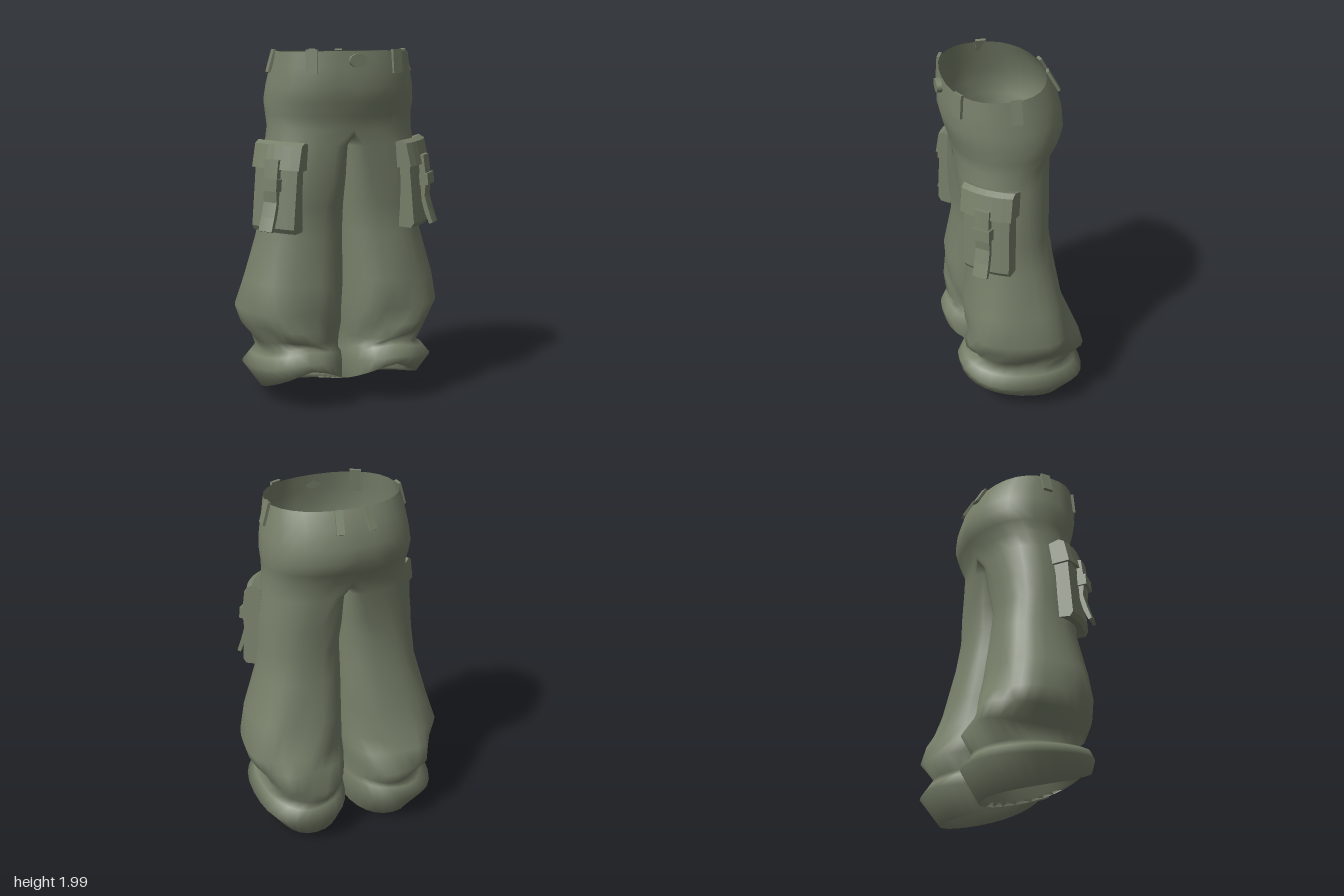
import * as THREE from 'three';
import { mergeVertices } from 'three/addons/utils/BufferGeometryUtils.js';

const cloth = new THREE.MeshStandardMaterial({ color: 0x77806a, side: THREE.DoubleSide });

// Cross-sections from waist to hem: yFront, yBack, centreX, outerX, zFront, zBack, innerX, foldDepth
const TORSO = [
  [1.99, 1.985, 0, 0.375, 0.35, -0.195, 0, 0],
  [1.9, 1.9, 0, 0.392, 0.36, -0.25, 0, 0],
  [1.8, 1.8, 0, 0.412, 0.365, -0.28, 0, 0],
  [1.72, 1.72, 0, 0.422, 0.347, -0.287, 0, 0],
  [1.64, 1.65, 0, 0.415, 0.322, -0.262, 0, 0],
  [1.57, 1.58, 0, 0.412, 0.306, -0.215, 0, 0],
];
const LEG = [
  [1.48, 1.48, 0.1, 0.425, 0.3, -0.19, 0.001, 0],
  [1.3, 1.3, 0.18, 0.45, 0.292, -0.177, 0.001, 0],
  [1.15, 1.15, 0.22, 0.46, 0.28, -0.168, 0.001, 0],
  [0.98, 0.98, 0.235, 0.475, 0.266, -0.192, 0.001, 0],
  [0.72, 0.72, 0.27, 0.545, 0.312, -0.238, 0.001, 0.005],
  [0.56, 0.55, 0.29, 0.588, 0.308, -0.29, 0.001, 0.01],
  [0.46, 0.47, 0.29, 0.555, 0.305, -0.325, 0.002, 0.014],
  [0.39, 0.37, 0.29, 0.49, 0.302, -0.383, 0.012, 0.012],
  [0.355, 0.27, 0.25, 0.465, 0.275, -0.318, 0.016, 0.006],
  [0.345, 0.235, 0.26, 0.5, 0.32, -0.335, 0.008, 0.005],
  [0.285, 0.17, 0.265, 0.548, 0.348, -0.385, 0.002, 0.004],
  [0.245, 0.008, 0.25, 0.45, 0.348, -0.275, 0.012, 0],
  [0.245, 0.045, 0.22, 0.39, 0.315, -0.225, 0.025, 0],
  [0.33, 0.2, 0.22, 0.39, 0.25, -0.25, 0.03, 0],
];
const M = 14;
const spow = (v, p) => Math.sign(v) * Math.abs(v) ** p;

// Roundness of each quarter of a section (1 = ellipse, smaller = squarer)
function roundness(row, j) {
  const inside = j > M, back = j > M / 2 && j < 1.5 * M;
  const depth = row - TORSO.length;
  if (inside) return depth < 2 ? 0.6 : back && depth > 4 ? 0.95 : 0.78;
  if (depth < 0) return back ? 0.92 : 0.86;
  return back && depth > 3 && depth < 8 ? 0.76 : 0.88;
}

// Point j of a section, running front -> outside -> back -> inside
function sectionPoint(s, row, j) {
  const [yf, yb, cx, xo, zf, zb, xi, fold] = s;
  const a = (j / M) * Math.PI, p = roundness(row, j);
  const sn = spow(Math.sin(a), p), cs = spow(Math.cos(a), p);
  const bulge = 1 + (fold * Math.sin(a * 5 + row * 2.1)) / 0.28;
  const z = (zf + zb) / 2 + ((zf - zb) / 2) * cs * bulge;
  const t = (1 - cs) / 2;
  let y = yf + (yb - yf) * t ** 0.58;
  if (fold) y += fold * 0.8 * Math.sin(a * 3 + row);
  // crotch seam dips between the legs
  if (row === TORSO.length - 1 && j > M) y += 0.06 * sn;
  const x = j <= M ? cx + (xo - cx) * sn * (1 + (bulge - 1) * 0.5) : cx + (cx - xi) * sn;
  return [x, y, z];
}

// Seat and both legs in one smooth skin
function trouserSkin() {
  const rings = [...TORSO, ...LEG], n = 2 * M, pos = [], idx = [];
  for (const side of [1, -1]) {
    const base = pos.length / 3;
    rings.forEach((s, r) => {
      for (let j = 0; j < n; j++) {
        const [x, y, z] = sectionPoint(s, r, j);
        pos.push(side * x, y, z);
      }
    });
    for (let r = 0; r < rings.length - 1; r++) {
      const count = r < TORSO.length - 1 ? M : n;
      for (let j = 0; j < count; j++) {
        const a = base + r * n + j, b = base + r * n + ((j + 1) % n);
        const c = a + n, d = b + n;
        if (side > 0) idx.push(a, c, b, b, c, d);
        else idx.push(a, b, c, b, d, c);
      }
    }
  }
  const g = new THREE.BufferGeometry();
  g.setAttribute('position', new THREE.Float32BufferAttribute(pos, 3));
  g.setIndex(idx);
  const merged = mergeVertices(g, 1e-4);
  merged.computeVertexNormals();
  return merged;
}

function add(parent, name, geo, x = 0, y = 0, z = 0) {
  const m = new THREE.Mesh(geo, cloth);
  m.name = name;
  m.position.set(x, y, z);
  parent.add(m);
  return m;
}

// Side profile (z, y) given a width along x, wrapped slightly around the thigh
function profileSlab(points, width) {
  const shape = new THREE.Shape(points.map(([z, y]) => new THREE.Vector2(z, y)));
  const g = new THREE.ExtrudeGeometry(shape, { depth: width, steps: 6, bevelEnabled: false });
  g.translate(0, 0, -width / 2).rotateY(-Math.PI / 2);
  const p = g.attributes.position;
  for (let i = 0; i < p.count; i++) p.setZ(i, p.getZ(i) - 1.3 * p.getX(i) ** 2);
  g.computeVertexNormals();
  return g;
}

// Cargo pocket; local z = 0 is its outer face
function cargoPocket(side) {
  const p = new THREE.Group();
  p.name = side > 0 ? 'leftCargoPocket' : 'rightCargoPocket';
  add(p, 'pocketBody', profileSlab(
    [[-0.09, 0.22], [-0.02, 0.22], [0.0, 0.1], [0.0, -0.22], [-0.02, -0.245], [-0.09, -0.235]], 0.27));
  add(p, 'pocketFlap', profileSlab(
    [[-0.09, 0.235], [-0.03, 0.25], [0.0, 0.23], [0.018, 0.1], [-0.08, 0.1]], 0.3));
  add(p, 'pocketStrap', profileSlab(
    [[0.0, 0.155], [0.03, 0.15], [0.036, 0.02], [0.02, -0.08], [0.036, -0.16], [0.055, -0.235],
      [0.035, -0.24], [0.012, -0.17], [-0.005, -0.08]], 0.085));
  add(p, 'strapKeeper', new THREE.BoxGeometry(0.105, 0.065, 0.05), 0, 0.015, 0.022);
  p.position.set(side * 0.437, 1.265, 0.235);
  p.rotation.set(-0.08, side * 0.84, side * 0.03, 'YXZ');
  return p;
}

export function createModel() {
  const model = new THREE.Group();
  model.name = 'cargoTrousers';
  add(model, 'trousers', trouserSkin());

  for (const side of [1, -1]) {
    model.add(cargoPocket(side));
    // Belt loops: name, x, z, yaw, tilt, width
    for (const [name, x, z, yaw, tilt, w] of [
      ['frontBeltLoop', 0.24, 0.315, 0.42, -0.08, 0.064],
      ['sideBeltLoop', 0.392, 0.05, Math.PI / 2, -0.28, 0.058],
      ['backBeltLoop', 0.085, -0.232, Math.PI - 0.2, -0.52, 0.042],
    ]) {
      const loop = add(model, name, new THREE.BoxGeometry(w, 0.128, 0.016), side * x, 1.935, z);
      loop.rotation.set(tilt, side * yaw, 0, 'YXZ');
    }
  }

  // Waist button
  const button = new THREE.CylinderGeometry(0.048, 0.048, 0.028, 20).rotateX(Math.PI / 2).scale(1, 0.75, 1);
  add(model, 'waistButton', button, 0, 1.94, 0.368);
  return model;
}
